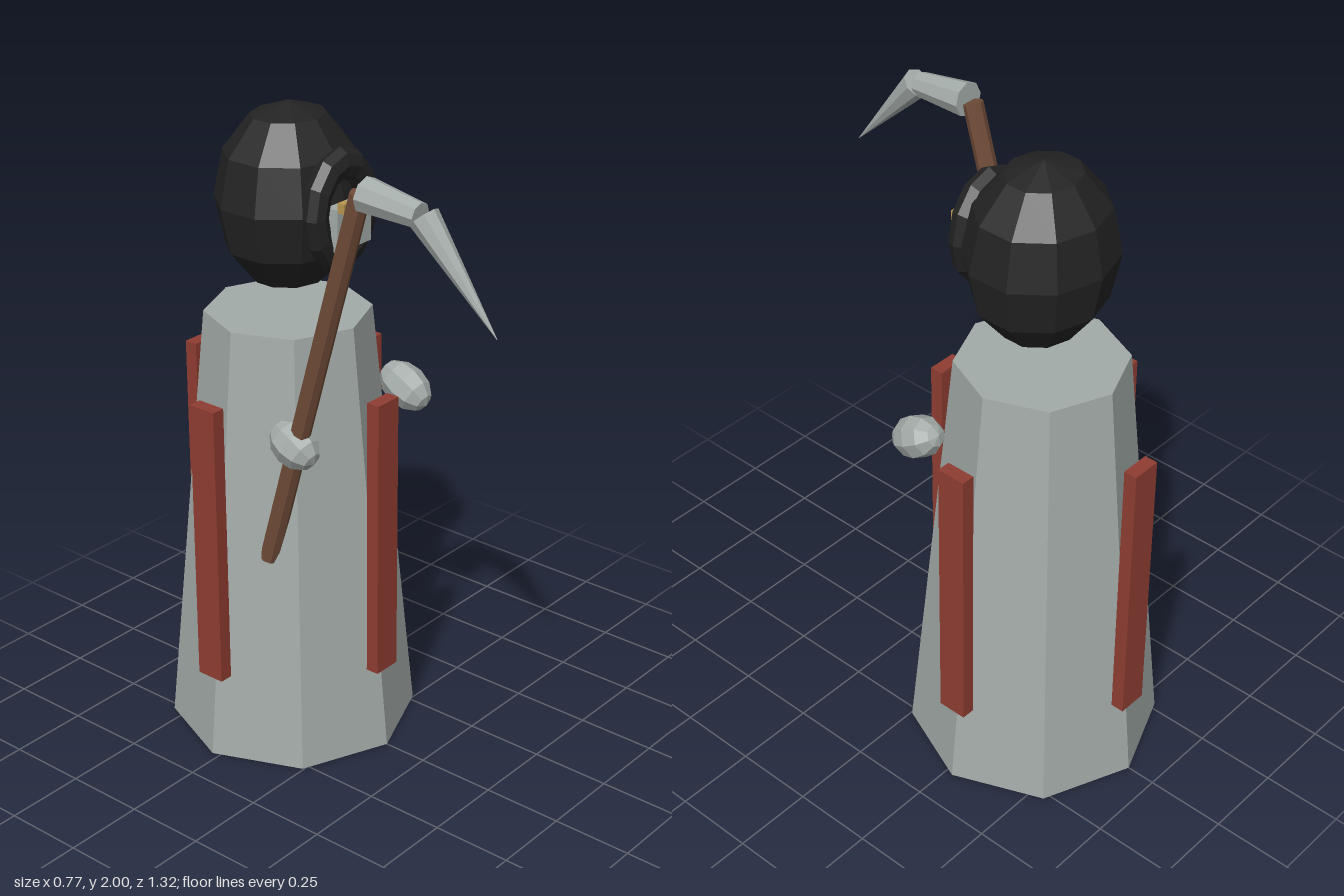
import * as THREE from 'three';

const flat = (name, color) => {
  const m = new THREE.MeshStandardMaterial({ color, flatShading: true });
  m.name = name;
  return m;
};

export function createModel() {
  const group = new THREE.Group();
  const grey = flat('pale grey', 0xa3aba8);
  const red = flat('brick red', 0x8f3d31);
  const black = flat('hood black', 0x232323);
  const brown = flat('wood brown', 0x704c38);
  const gold = flat('gold', 0xb8964f);

  const CZ = -0.275; // body axis
  const add = (name, geometry, material, x, y, z) => {
    const mesh = new THREE.Mesh(geometry, material);
    mesh.name = name;
    mesh.position.set(x, y, z);
    group.add(mesh);
    return mesh;
  };
  const box = (w, h, d) => new THREE.BoxGeometry(w, h, d);

  // Tapered rod from a to b
  const rod = (name, a, b, ra, rb, material) => {
    const dir = b.clone().sub(a);
    const mid = a.clone().add(b).multiplyScalar(0.5);
    const mesh = add(name, new THREE.CylinderGeometry(rb, ra, dir.length(), 8), material, mid.x, mid.y, mid.z);
    mesh.quaternion.setFromUnitVectors(new THREE.Vector3(0, 1, 0), dir.normalize());
  };

  // Robe
  add('robe', new THREE.CylinderGeometry(0.25, 0.383, 1.365, 8), grey, 0, 0.6825, CZ);

  // Four upright straps around the robe
  for (let i = 0; i < 4; i++) {
    const a = (i * Math.PI) / 2;
    const strap = add('strap', box(0.092, 0.895, 0.042), red, Math.sin(a) * 0.36, 0.7225, CZ + Math.cos(a) * 0.36);
    strap.rotation.y = a;
  }

  // Hood with its raised rim
  const hood = new THREE.SphereGeometry(1, 10, 6).rotateY(Math.PI / 2).scale(0.233, 0.283, 0.21);
  add('hood', hood, black, 0, 1.717, -0.264);
  const rim = new THREE.TorusGeometry(0.108, 0.038, 8, 12).scale(1, 1.26, 1);
  add('hoodRim', rim, black, 0, 1.717, -0.073);

  // Face plate and eyes
  add('face', box(0.148, 0.128, 0.04), grey, 0, 1.68, -0.041);
  for (const s of [-1, 1]) add('eye', box(0.03, 0.03, 0.024), gold, s * 0.056, 1.75, -0.011);

  // Hands, tilted down towards the front
  const hand = (name, x, y, z, length) => {
    const g = new THREE.SphereGeometry(1, 8, 6).rotateX(Math.PI / 2).scale(0.065, 0.066, length);
    add(name, g, grey, x, y, z).rotation.x = 0.5;
  };
  hand('leftHand', 0.244, 1.1, -0.025, 0.092);
  hand('rightHand', -0.244, 1.077, -0.042, 0.084);

  // Scythe: shaft, blade base and pointed blade
  const p = (y, z) => new THREE.Vector3(-0.244, y, z);
  rod('scytheShaft', p(0.675, -0.146), p(1.89, 0.203), 0.03, 0.03, brown);
  rod('bladeBase', p(1.892, 0.22), p(1.874, 0.405), 0.052, 0.037, grey);
  rod('bladeTip', p(1.874, 0.416), p(1.595, 0.661), 0.044, 0.001, grey);

  return group;
}
